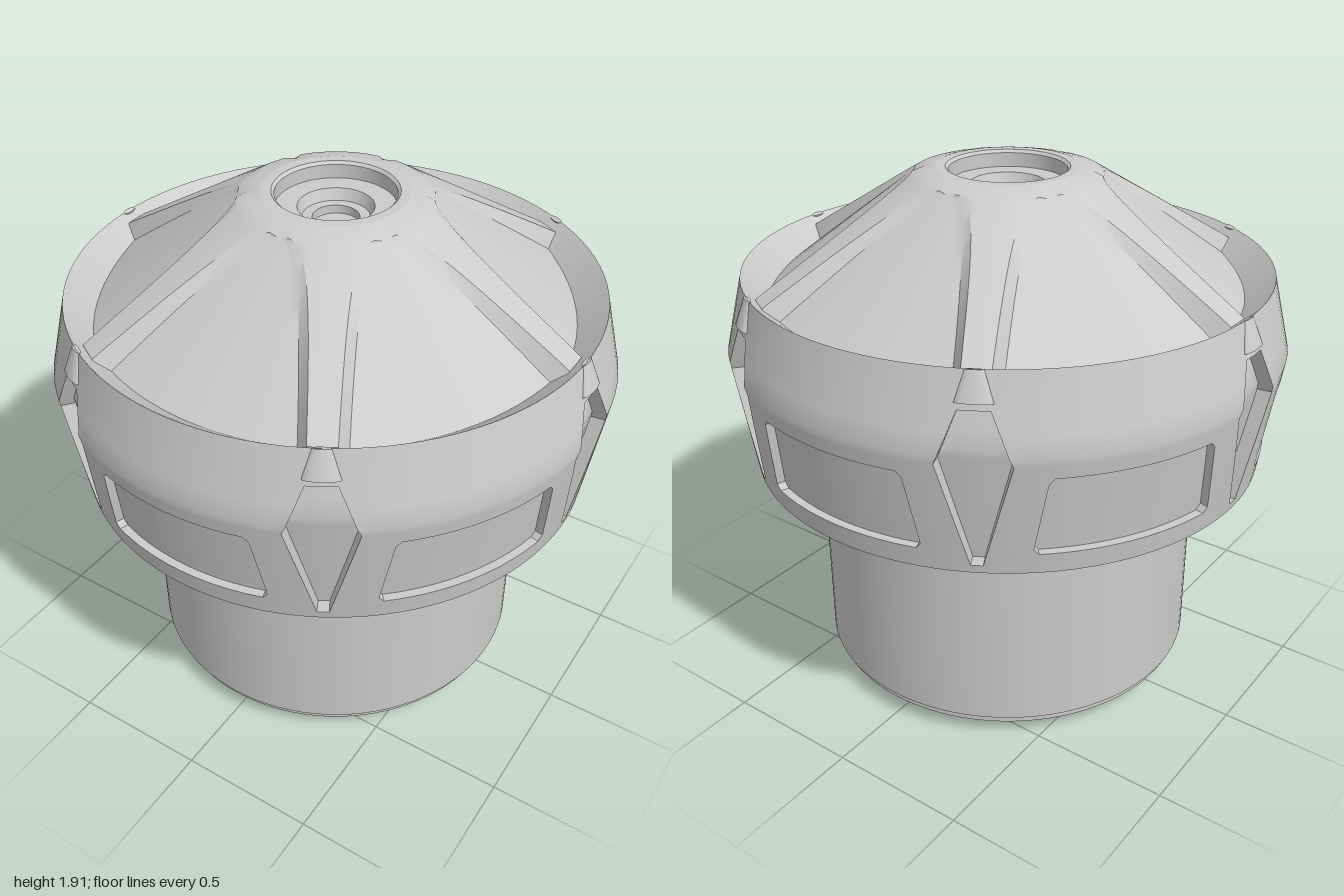
import * as THREE from 'three';
import { toCreasedNormals } from 'three/addons/utils/BufferGeometryUtils.js';

const SECTOR = Math.PI / 3, HALF = Math.PI / 6;
const material = new THREE.MeshStandardMaterial({ color: 0xcccccc });

function add(group, name, geometry) {
  const mesh = new THREE.Mesh(geometry, material);
  mesh.name = name;
  group.add(mesh);
  return mesh;
}

// Piecewise linear lookup through [input, output] pairs
function lerpTable(table, v) {
  if (v <= table[0][0]) return table[0][1];
  for (let i = 1; i < table.length; i++) {
    const [a, p] = table[i - 1], [b, q] = table[i];
    if (v <= b) return p + (q - p) * (v - a) / (b - a);
  }
  return table[table.length - 1][1];
}

function lathe(points) {
  const g = new THREE.LatheGeometry(points.map(p => new THREE.Vector2(...p)), 96);
  return toCreasedNormals(g, 0.5);
}

// Skin over rows; each row lists [angle, radius, y] over half a sector, then is mirrored and repeated six times
function sixfoldSkin(halfRows) {
  const position = [], index = [];
  const cols = halfRows[0].length * 12 + 1;
  for (const half of halfRows) {
    const full = [...half, ...half.map(([a, r, y]) => [SECTOR - a, r, y]).reverse()];
    for (let k = 0; k <= 6; k++) {
      for (const [a, r, y] of k < 6 ? full : [full[0]]) {
        const t = a + k * SECTOR;
        position.push(r * Math.cos(t), y, r * Math.sin(t));
      }
    }
  }
  for (let i = 0; i < halfRows.length - 1; i++) {
    for (let j = 0; j < cols - 1; j++) {
      const a = i * cols + j, b = a + cols;
      index.push(a, b, a + 1, b, b + 1, a + 1);
    }
  }
  const g = new THREE.BufferGeometry();
  g.setAttribute('position', new THREE.Float32BufferAttribute(position, 3));
  g.setIndex(index);
  return toCreasedNormals(g, 0.5);
}

// Evenly spaced values from a to b, n steps
const span = (a, b, n) => Array.from({ length: n + 1 }, (_, i) => a + (b - a) * i / n);

// Collar wall with recessed diamonds (at each rib) and recessed windows between them
const collarRadius = [[0.87, 0.935], [1.31, 1.0], [1.57, 0.935]];
const diamondWidth = [[0.9, 0.02], [1.28, 0.12], [1.45, 0.05]];
const windowAngle = [[0.945, 0.318], [0.965, 0.336], [1.215, 0.296], [1.235, 0.278]];

function collarGeometry() {
  const row = (y, inDiamond, inWindow) => {
    const r = lerpTable(collarRadius, y);
    const d = lerpTable(diamondWidth, y) / r;
    const w = HALF - lerpTable(windowAngle, y);
    const rd = r - (inDiamond ? 0.05 : 0), rw = r - (inWindow ? 0.03 : 0);
    return [
      ...span(0, d, 2).map(a => [a, rd, y]),
      ...span(d, w, 3).map(a => [a, r, y]),
      ...span(w, HALF, 5).map(a => [a, rw, y]),
    ];
  };
  return sixfoldSkin([
    row(0.87, false, false), row(0.9, false, false),
    row(0.9, true, false), row(0.945, true, false),
    row(0.945, true, true), row(0.965, true, true), row(1.09, true, true),
    row(1.215, true, true), row(1.235, true, true),
    row(1.235, true, false), row(1.28, true, false), row(1.31, true, false),
    row(1.38, true, false), row(1.45, true, false),
    row(1.45, false, false), row(1.51, false, false), row(1.57, false, false),
  ]);
}

// Ribbed dome: six sunken panels with rounded tips, framed by bevelled ribs
const ribHeight = [[0.25, 1.91], [0.33, 1.89], [0.86, 1.57], [0.9, 1.545]];

function panelEdge(r) {
  const inside = a =>
    Math.min(r * Math.sin(a), r * Math.sin(SECTOR - a)) > 0.06 &&
    (r * Math.sin(a) - 0.06) * (r * Math.sin(SECTOR - a) - 0.06) > 0.011;
  if (!inside(HALF)) return HALF;
  let low = 0, high = HALF;
  for (let i = 0; i < 30; i++) {
    const mid = (low + high) / 2;
    if (inside(mid)) high = mid; else low = mid;
  }
  return high;
}

function domeGeometry() {
  const radii = [...span(0.9, 0.5, 10), 0.46, 0.42, 0.39, 0.37, 0.355, 0.345, 0.338, 0.333, 0.33, 0.29, 0.25];
  return sixfoldSkin(radii.map(r => {
    const edge = panelEdge(r), top = lerpTable(ribHeight, r);
    const open = edge < HALF;
    const shoulder = open ? edge - 0.03 / r : HALF;
    const panelY = a => open ? 1.88 - 0.78 * (r * (0.5 + 0.5 * Math.cos(HALF - a)) - 0.33) : top;
    return [
      ...span(0, shoulder, 3).map(a => [a, r, top]),
      ...span(edge, HALF, 5).map(a => [a, r, panelY(a)]),
    ];
  }));
}

export function createModel() {
  const model = new THREE.Group();
  model.name = 'ribbedCap';

  // Lower cylinder with stepped, hollow underside
  add(model, 'lowerBody', lathe([
    [0, 0.4], [0.2, 0.4], [0.2, 0.04], [0.27, 0.04], [0.27, 0], [0.32, 0], [0.32, 0.05],
    [0.42, 0.05], [0.42, 0.1], [0.5, 0.1], [0.5, 0.03], [0.61, 0.03], [0.61, 0.06],
    [0.69, 0.06], [0.69, 0.09], [0.705, 0.09], [0.705, 0.88],
  ]));

  // Collar: underside, recessed wall and the sloping inside of the rim
  add(model, 'collarUnderside', lathe([[0.7, 0.88], [0.86, 0.88], [0.865, 0.87], [0.935, 0.87]]));
  add(model, 'collarWall', collarGeometry());
  add(model, 'collarRim', lathe([[0.935, 1.57], [0.84, 1.49], [0.78, 1.44]]));

  // Dome and the stepped socket in its top
  add(model, 'ribbedDome', domeGeometry());
  add(model, 'topSocket', lathe([
    [0.25, 1.91], [0.215, 1.91], [0.205, 1.9], [0.205, 1.85], [0.13, 1.85],
    [0.115, 1.81], [0.08, 1.81], [0.08, 1.78], [0, 1.78],
  ]));

  // Small details repeated at every rib
  for (let k = 0; k < 6; k++) {
    const spoke = new THREE.Group();
    spoke.name = 'ribDetails';
    spoke.rotation.y = k * SECTOR;
    const tab = add(spoke, 'rimTab', new THREE.CylinderGeometry(0.03, 0.06, 0.1, 16));
    tab.scale.x = 0.35;
    tab.position.set(0.945, 1.52, 0);
    tab.rotation.z = 0.245;
    const clip = add(spoke, 'undersideClip', new THREE.BoxGeometry(0.09, 0.02, 0.05));
    clip.position.set(0.88, 0.875, 0);
    model.add(spoke);
  }
  return model;
}
